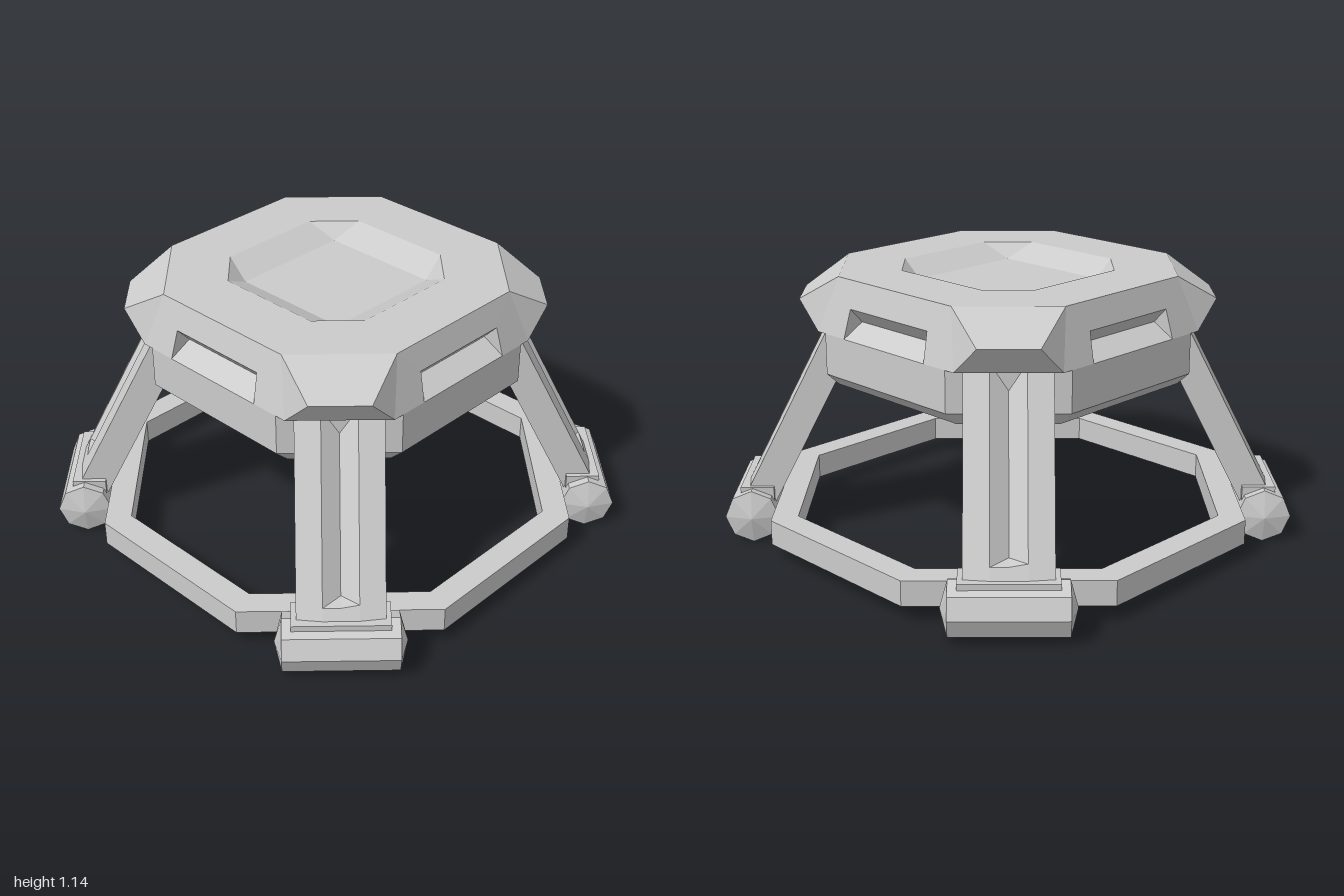
import * as THREE from 'three';

const grey = new THREE.MeshStandardMaterial({ color: 0xcccccc, flatShading: true });

// Flat-shaded geometry from convex polygons, corners counter-clockwise from outside
function polygons(list) {
  const pos = [];
  for (const p of list)
    for (let i = 1; i < p.length - 1; i++) pos.push(...p[0], ...p[i], ...p[i + 1]);
  const g = new THREE.BufferGeometry();
  g.setAttribute('position', new THREE.Float32BufferAttribute(pos, 3));
  g.computeVertexNormals();
  return g;
}

function add(parent, name, geometry) {
  const mesh = new THREE.Mesh(geometry, grey);
  mesh.name = name;
  parent.add(mesh);
  return mesh;
}

// Octagonal outline, counter-clockwise
function octagon(Type, a, c) {
  return new Type([[c, -a], [a, -c], [a, c], [c, a], [-c, a], [-a, c], [-a, -c], [-c, -a]]
    .map(([x, y]) => new THREE.Vector2(x, y)));
}

// One quarter of the hull: the front side and the corner to its right
function hullQuarter() {
  // [half width of side, height, distance of side], from the base up into the top recess
  const rings = [
    [0.35, 0.69, 0.63], [0.353, 0.745, 0.688], [0.353, 0.915, 0.688], [0.40, 0.915, 0.688],
    [0.52, 1.03, 0.685], [0.33, 1.145, 0.63], [0.23, 1.145, 0.38], [0.26, 1.085, 0.26],
  ];
  const faces = [];
  for (let i = 0; i < rings.length - 1; i++) {
    const [c, y, a] = rings[i], [d, v, b] = rings[i + 1];
    faces.push([[c, y, a], [a, y, c], [b, v, d], [d, v, b]]);
    if (i < 2 || i > 4) faces.push([[-c, y, a], [c, y, a], [d, v, b], [-d, v, b]]);
  }
  // Base and recess floor
  faces.push([[0, 0.69, 0], [0.35, 0.69, 0.63], [-0.35, 0.69, 0.63]]);
  faces.push([[0, 0.69, 0], [0.63, 0.69, 0.35], [0.35, 0.69, 0.63]]);
  faces.push([[0, 1.085, 0], [-0.26, 1.085, 0.26], [0.26, 1.085, 0.26]]);
  // Sloped panel around a wedge-shaped slot
  const lo = [-0.235, 0.915, 0.688], mid = [-0.225, 0.972, 0.6], hi = [-0.225, 1.035, 0.658];
  const out = [-0.40, 0.915, 0.688], tip = [-0.52, 1.03, 0.685], top = [-0.33, 1.145, 0.63];
  const m = ([x, y, z]) => [-x, y, z];
  for (const f of [[out, lo, hi, top], [out, top, tip], [lo, mid, hi]])
    faces.push(f, f.map(m).reverse());
  for (const [p, q] of [[hi, top], [lo, mid], [mid, hi]]) faces.push([p, m(p), m(q), q]);
  return polygons(faces);
}

// Slanted leg with a grooved outer face, leaning out along +z
function legGeometry() {
  const section = (y, groove) => [
    [-0.17, 0], [-0.17, 0.142], [-0.07, 0.155], [0, 0.155 - groove],
    [0.07, 0.155], [0.17, 0.142], [0.17, 0],
  ].map(([x, d]) => [x, y, 0.71 + (0.69 - y) * 0.51 + d]);
  const levels = [section(0.14, 0), section(0.275, 0), section(0.285, 0.055), section(0.95, 0.055)];
  const faces = [];
  for (let k = 0; k < 3; k++) {
    const a = levels[k], b = levels[k + 1];
    a.forEach((p, i) => {
      const j = (i + 1) % a.length;
      faces.push([p, a[j], b[j]], [p, b[j], b[i]]);
    });
  }
  return polygons(faces);
}

export function createModel() {
  const model = new THREE.Group();
  model.name = 'table';

  const hull = new THREE.Group();
  hull.name = 'body';
  model.add(hull);
  const quarter = hullQuarter(), leg = legGeometry();
  const roller = new THREE.CylinderGeometry(0.113, 0.113, 0.45, 8, 1, true).rotateZ(Math.PI / 2);
  const cap = new THREE.ConeGeometry(0.113, 0.03, 8, 1, true).translate(0, 0.24, 0).rotateZ(-Math.PI / 2);
  const collar = new THREE.BoxGeometry(0.38, 0.12, 0.14);

  for (let k = 0; k < 4; k++) {
    add(hull, 'bodyQuarter', quarter).rotation.y = k * Math.PI / 2;

    const support = new THREE.Group();
    support.name = 'legAssembly';
    support.rotation.y = Math.PI / 4 + k * Math.PI / 2;
    add(support, 'leg', leg);
    add(support, 'collar', collar).position.set(0, 0.17, 1.055);
    // Eight-sided foot with shallow pointed ends
    const foot = new THREE.Group();
    foot.name = 'foot';
    foot.position.set(0, 0.113, 1.075);
    add(foot, 'footBar', roller);
    add(foot, 'footCap', cap);
    add(foot, 'footCap', cap).rotation.y = Math.PI;
    support.add(foot);
    model.add(support);
  }

  // Octagonal brace joining the feet
  const shape = octagon(THREE.Shape, 0.97, 0.40);
  shape.holes.push(octagon(THREE.Path, 0.86, 0.36));
  const brace = new THREE.ExtrudeGeometry(shape, { depth: 0.105, bevelEnabled: false });
  add(model, 'braceRing', brace.rotateX(-Math.PI / 2).translate(0, 0.065, 0));

  return model;
}
